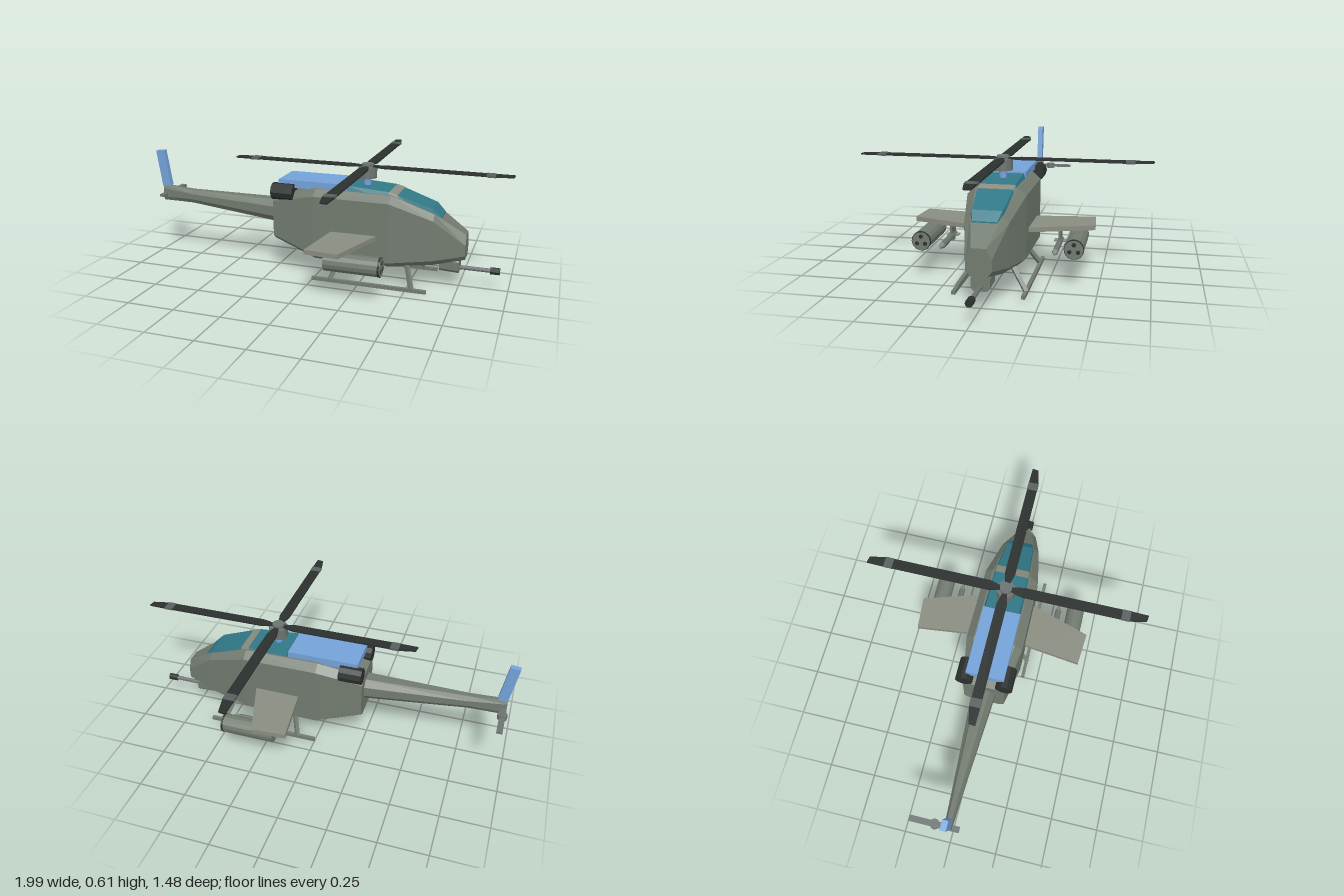
import * as THREE from 'three';

const paint = (color) => new THREE.MeshStandardMaterial({ color, flatShading: true });
const M = {
  hull: paint(0x727b70), wing: paint(0x8a8d80), dark: paint(0x2b302f),
  metal: paint(0x6c7471), glass: paint(0x317887), blue: paint(0x74a2d8), band: paint(0x59615f),
};

// Skin a list of rings running along +x; each ring is [x, [[y, z], ...]]
function loft(rings) {
  const P = rings.map(([x, pts]) => pts.map(([y, z]) => [x, y, z]));
  const n = P[0].length, last = P.length - 1, v = [];
  for (let i = 0; i < last; i++) {
    for (let j = 0; j < n; j++) {
      const k = (j + 1) % n;
      v.push(...P[i][j], ...P[i][k], ...P[i + 1][k], ...P[i][j], ...P[i + 1][k], ...P[i + 1][j]);
    }
  }
  for (let j = 1; j < n - 1; j++) {
    v.push(...P[0][0], ...P[0][j + 1], ...P[0][j]);
    v.push(...P[last][0], ...P[last][j], ...P[last][j + 1]);
  }
  const g = new THREE.BufferGeometry();
  g.setAttribute('position', new THREE.Float32BufferAttribute(v, 3));
  g.computeVertexNormals();
  return g;
}

// Chamfered eight-sided ring, symmetric about z = 0
function octRing(x, yb, yt, w, wTop, wBot, cTop, cBot) {
  const half = [[yt, wTop], [yt - cTop, w], [yb + cBot, w], [yb, wBot]];
  return [x, [...half, ...half.map(([y, z]) => [y, -z]).reverse()]];
}

// Trapezoid ring for the glazing
const trapRing = (x, yb, yt, wb, wt) => [x, [[yt, wt], [yb, wb], [yb, -wb], [yt, -wt]]];

// Horizontal plate from an outline of [x, z] corners
function plate(outline, y, thickness) {
  const shape = new THREE.Shape(outline.map(([x, z]) => new THREE.Vector2(x, z)));
  const g = new THREE.ExtrudeGeometry(shape, { depth: thickness, bevelEnabled: false });
  return g.rotateX(Math.PI / 2).translate(0, y + thickness, 0);
}

// Cylinder along x from x0 to x1
function rodX(x0, x1, y, z, r0, r1 = r0, sides = 10) {
  return new THREE.CylinderGeometry(r1, r0, x1 - x0, sides)
    .rotateZ(-Math.PI / 2).translate((x0 + x1) / 2, y, z);
}

// Box spanning two corners
function box(x0, x1, y0, y1, z0, z1) {
  return new THREE.BoxGeometry(x1 - x0, y1 - y0, z1 - z0)
    .translate((x0 + x1) / 2, (y0 + y1) / 2, (z0 + z1) / 2);
}

// Upright cylinder
const post = (x, z, y0, y1, r, sides = 12) =>
  new THREE.CylinderGeometry(r, r, y1 - y0, sides).translate(x, (y0 + y1) / 2, z);

// Square bar between two points
function bar(a, b, size) {
  const p = new THREE.Vector3(...a), q = new THREE.Vector3(...b);
  const mesh = new THREE.BoxGeometry(size, p.distanceTo(q), size);
  const turn = new THREE.Quaternion().setFromUnitVectors(
    new THREE.Vector3(0, 1, 0), q.clone().sub(p).normalize());
  const mid = p.add(q).multiplyScalar(0.5);
  return mesh.applyQuaternion(turn).translate(mid.x, mid.y, mid.z);
}

export function createModel() {
  const model = new THREE.Group();
  const add = (name, geometry, material, parent = model) => {
    const mesh = new THREE.Mesh(geometry, material);
    mesh.name = name;
    parent.add(mesh);
    return mesh;
  };

  // Fuselage, nose towards +x
  add('fuselage', loft([
    octRing(-0.24, 0.18, 0.43, 0.11, 0.075, 0.08, 0.035, 0.025),
    octRing(0, 0.10, 0.485, 0.15, 0.11, 0.11, 0.035, 0.03),
    octRing(0.4, 0.10, 0.48, 0.145, 0.105, 0.11, 0.035, 0.03),
    octRing(0.62, 0.125, 0.395, 0.105, 0.075, 0.075, 0.03, 0.03),
    octRing(0.78, 0.16, 0.29, 0.06, 0.035, 0.04, 0.05, 0.025),
  ]), M.hull);

  // Tail boom
  add('tailBoom', loft([
    octRing(-0.965, 0.31, 0.4, 0.018, 0.009, 0.009, 0.02, 0.02),
    octRing(-0.78, 0.31, 0.385, 0.028, 0.014, 0.014, 0.022, 0.022),
    octRing(-0.22, 0.255, 0.38, 0.062, 0.032, 0.032, 0.035, 0.035),
  ]), M.hull);

  // Swept tail fin
  const fin = new THREE.Shape([[-0.968, 0.39], [-0.918, 0.4], [-0.95, 0.603], [-1, 0.597]]
    .map(([x, y]) => new THREE.Vector2(x, y)));
  add('tailFin', new THREE.ExtrudeGeometry(fin, { depth: 0.03, bevelEnabled: false })
    .translate(0, 0, -0.015), M.blue);

  // Tail rotor
  add('tailRotorBlade', box(-0.97, -0.94, 0.338, 0.352, -0.2, 0.055), M.metal);
  add('tailRotorHub', post(-0.955, -0.07, 0.33, 0.358, 0.025), M.metal);

  // Canopy glass and the frame between its panes
  add('rearCanopy', loft([
    trapRing(0.17, 0.45, 0.508, 0.11, 0.09),
    trapRing(0.39, 0.45, 0.493, 0.108, 0.088),
  ]), M.glass);
  add('canopyFrame', loft([
    trapRing(0.388, 0.44, 0.494, 0.109, 0.089),
    trapRing(0.432, 0.43, 0.482, 0.106, 0.087),
  ]), M.wing);
  add('frontCanopy', loft([
    trapRing(0.43, 0.43, 0.48, 0.105, 0.086),
    trapRing(0.61, 0.36, 0.42, 0.085, 0.072),
    trapRing(0.655, 0.34, 0.378, 0.068, 0.058),
  ]), M.glass);

  // Engine deck
  add('engineDeck', box(-0.21, 0.165, 0.475, 0.515, -0.1, 0.1), M.blue);

  // Main rotor: mast, hub and four blades
  const rotor = new THREE.Group();
  rotor.name = 'mainRotor';
  rotor.position.set(0.25, 0, 0);
  model.add(rotor);
  add('mast', post(0, 0, 0.48, 0.55, 0.02), M.blue, rotor);
  add('rotorHub', post(0, 0, 0.54, 0.597, 0.05), M.metal, rotor);
  add('hubCap', post(0, 0, 0.59, 0.613, 0.032), M.metal, rotor);
  for (let i = 0; i < 4; i++) {
    const blade = new THREE.Group();
    blade.name = 'rotorBlade';
    blade.rotation.y = i * Math.PI / 2;
    rotor.add(blade);
    add('bladeSpan', plate([[0.03, -0.012], [0.09, -0.026], [0.65, -0.026], [0.74, -0.024],
      [0.735, 0.01], [0.65, 0.028], [0.09, 0.028], [0.03, 0.012]], 0.595, 0.008), M.dark, blade);
    add('bladeBand', plate([[0.605, -0.027], [0.65, -0.027], [0.65, 0.029], [0.605, 0.029]],
      0.593, 0.012), M.band, blade);
  }

  // Chin gun
  add('gunTurret', loft([
    octRing(0.65, 0.085, 0.16, 0.045, 0.035, 0.03, 0.01, 0.015),
    octRing(0.75, 0.08, 0.15, 0.045, 0.035, 0.03, 0.01, 0.015),
  ]), M.hull);
  add('gunBarrel', rodX(0.74, 0.94, 0.102, 0, 0.011), M.metal);
  add('gunMuzzle', rodX(0.905, 0.953, 0.102, 0, 0.018), M.dark);

  for (const s of [1, -1]) {
    // Exhausts
    add('exhaust', rodX(-0.24, -0.12, 0.452, s * 0.105, 0.045, 0.045, 10), M.dark);

    // Stub wings
    add('stubWing', plate([[0.1, s * 0.12], [0.345, s * 0.12], [0.235, s * 0.467],
      [0.06, s * 0.453]], 0.247, 0.024), M.wing);

    // Rocket pods with three tubes
    add('podPylon', box(0.16, 0.24, 0.23, 0.25, s * 0.38 - 0.01, s * 0.38 + 0.01), M.metal);
    add('rocketPod', rodX(0.145, 0.425, 0.198, s * 0.38, 0.048, 0.048, 14), M.hull);
    add('podRim', rodX(0.418, 0.427, 0.198, s * 0.38, 0.0495, 0.0495, 14), M.dark);
    add('podFace', rodX(0.42, 0.43, 0.198, s * 0.38, 0.046, 0.046, 14), M.hull);
    for (let i = 0; i < 3; i++) {
      const a = i * Math.PI * 2 / 3;
      add('rocketTube', rodX(0.42, 0.432, 0.198 + 0.024 * Math.cos(a),
        s * 0.38 + 0.024 * Math.sin(a), 0.011, 0.011, 8), M.dark);
    }

    // Missiles with cross fins
    const z = s * 0.285;
    add('missilePylon', box(0.15, 0.22, 0.175, 0.25, z - 0.006, z + 0.006), M.metal);
    add('missileBody', rodX(0.15, 0.385, 0.168, z, 0.016, 0.016, 8), M.metal);
    add('missileNose', rodX(0.385, 0.43, 0.168, z, 0.016, 0.002, 8), M.wing);
    add('missileFin', box(0.155, 0.195, 0.136, 0.2, z - 0.003, z + 0.003), M.wing);
    add('missileFin', box(0.155, 0.195, 0.165, 0.171, z - 0.032, z + 0.032), M.wing);

    // Landing skids and their struts
    add('skid', box(0, 0.61, 0, 0.018, s * 0.168 - 0.009, s * 0.168 + 0.009), M.hull);
    add('rearStrut', bar([0.135, 0.115, s * 0.1], [0.1, 0.012, s * 0.17], 0.02), M.hull);
    add('frontStrut', bar([0.495, 0.115, s * 0.1], [0.535, 0.012, s * 0.17], 0.02), M.hull);
  }
  return model;
}
